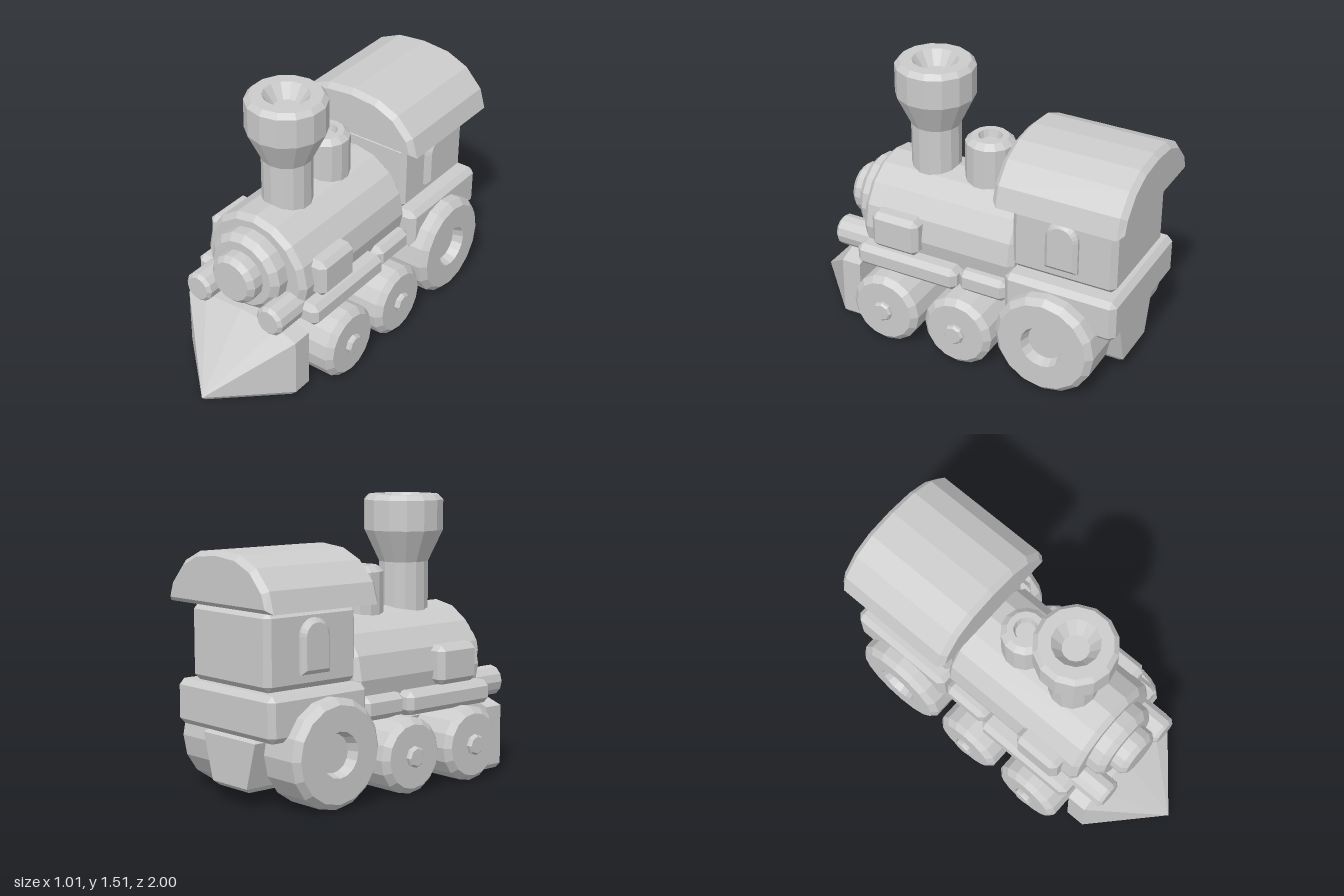
import * as THREE from 'three';
import { ConvexGeometry } from 'three/addons/geometries/ConvexGeometry.js';

const mat = new THREE.MeshStandardMaterial({ color: 0xcccccc, flatShading: true });
const V = (x, y, z) => new THREE.Vector3(x, y, z);

export function createModel() {
  const group = new THREE.Group();

  const add = (name, geo, x = 0, y = 0, z = 0) => {
    const mesh = new THREE.Mesh(geo, mat);
    mesh.name = name;
    mesh.position.set(x, y, z);
    group.add(mesh);
    return mesh;
  };

  // box with every edge chamfered, given by its limits
  const box = (name, [x0, x1], [y0, y1], [z0, z1], b = 0.03) => {
    const w = (x1 - x0) / 2, h = (y1 - y0) / 2, d = (z1 - z0) / 2, pts = [];
    for (const i of [-1, 1]) for (const j of [-1, 1]) for (const k of [-1, 1]) {
      pts.push(V(i * w, j * (h - b), k * (d - b)));
      pts.push(V(i * (w - b), j * h, k * (d - b)));
      pts.push(V(i * (w - b), j * (h - b), k * d));
    }
    return add(name, new ConvexGeometry(pts), (x0 + x1) / 2, (y0 + y1) / 2, (z0 + z1) / 2);
  };

  // turned part: profile of [radius, height]
  const turned = (profile, sides) =>
    new THREE.LatheGeometry(profile.map(([r, h]) => new THREE.Vector2(r, h)), sides);

  // chamfered cylinder along its axis from a to b
  const drum = (r, a, b, c, sides) =>
    turned([[0, a], [r - c, a], [r, a + c], [r, b - c], [r - c, b], [0, b]], sides);

  // boiler and its stepped front
  add('boiler', drum(0.325, -0.36, 0.55, 0.03, 16).rotateX(Math.PI / 2), 0, 0.597);
  add('boilerFrontRing', drum(0.223, 0.45, 0.65, 0.035, 16).rotateX(Math.PI / 2), 0, 0.63);
  add('boilerDoor', drum(0.14, 0.55, 0.74, 0.028, 16).rotateX(Math.PI / 2), 0, 0.63);

  // chimney with flared, hollow top
  add('chimney', turned([
    [0, 0.8], [0.135, 0.8], [0.135, 1.155], [0.216, 1.325], [0.216, 1.487],
    [0.19, 1.515], [0.125, 1.515], [0.07, 1.44], [0, 1.44],
  ], 14), 0, 0, 0.265);

  // steam dome
  add('steamDome', turned([
    [0, 0.8], [0.133, 0.8], [0.133, 1.12], [0.1, 1.15], [0.065, 1.15], [0.055, 1.11], [0, 1.11],
  ], 14), 0, 0, -0.06);

  // running boards and rear deck
  box('frontRunningBoard', [-0.4, 0.4], [0.39, 0.515], [-0.06, 0.55]);
  box('rearRunningBoard', [-0.37, 0.37], [0.39, 0.515], [-0.34, -0.06]);
  box('rearDeck', [-0.39, 0.39], [0.365, 0.6], [-0.97, -0.34]);

  // cab
  box('cab', [-0.31, 0.31], [0.6, 0.995], [-0.93, -0.345]);

  // arched cab roof
  const b = 0.03;
  const roofShape = new THREE.Shape([
    [-0.385, 1.022], [-0.36, 1.095], [-0.27, 1.19], [-0.155, 1.24], [0, 1.255],
    [0.155, 1.24], [0.27, 1.19], [0.36, 1.095], [0.385, 1.022],
  ].reverse().map(([x, y]) => new THREE.Vector2(x, y)));
  add('roof', new THREE.ExtrudeGeometry(roofShape, {
    depth: 0.72 - 2 * b, bevelEnabled: true, bevelSegments: 1, bevelSize: 0.028, bevelThickness: b,
  }), 0, 0, -1 + b);

  // chassis, narrower towards the bottom
  const chassis = [];
  for (const s of [-1, 1]) {
    for (const [x, y, inset] of [[0.12, 0.075, 0.03], [0.14, 0.1, 0], [0.21, 0.34, 0], [0.18, 0.37, 0.03]]) {
      chassis.push(V(s * x, y, 0.55 - inset), V(s * x, y, -0.93 + inset));
    }
  }
  add('chassis', new ConvexGeometry(chassis));

  // pointed plough
  const plough = [V(0, 0.03, 1), V(0, 0, 0.97)];
  for (const s of [-1, 1]) for (const z of [0.555, 0.665]) {
    plough.push(V(s * 0.33, 0, z), V(s * 0.36, 0.03, z), V(s * 0.36, 0.355, z), V(s * 0.24, 0.395, z));
  }
  for (const z of [0.555, 0.665]) plough.push(V(0, 0.41, z));
  add('plough', new ConvexGeometry(plough));

  // small wheel pairs, each a full-width roller with hubs
  for (const z of [0.335, -0.107]) {
    add('smallWheels', drum(0.2, -0.478, 0.478, 0.032, 16).rotateZ(-Math.PI / 2), 0, 0.2, z);
    add('smallWheelHubs', drum(0.056, -0.505, 0.505, 0.01, 8).rotateZ(-Math.PI / 2), 0, 0.2, z);
  }

  const windowShape = new THREE.Shape();
  windowShape.moveTo(-0.07, 0.695);
  windowShape.lineTo(0.07, 0.695);
  windowShape.lineTo(0.07, 0.86);
  windowShape.absarc(0, 0.86, 0.07, 0, Math.PI, false);

  for (const side of [1, -1]) {
    const tag = side > 0 ? 'left' : 'right';

    // large rear wheel with sunken hub
    add(tag + 'RearWheel', turned([
      [0, 0.2], [0.245, 0.2], [0.282, 0.232], [0.282, 0.445], [0.25, 0.478],
      [0.118, 0.478], [0.1, 0.42], [0, 0.42],
    ], 16).rotateZ(-side * Math.PI / 2), 0, 0.283, -0.61);

    // boiler side box
    box(tag + 'SideBox', side > 0 ? [0.2, 0.383] : [-0.383, -0.2], [0.52, 0.73], [0.18, 0.462]);

    // headlamp
    add(tag + 'Headlamp', drum(0.084, 0.45, 0.735, 0.018, 12).rotateX(Math.PI / 2), side * 0.235, 0.475);

    // raised cab window
    add(tag + 'CabWindow', new THREE.ExtrudeGeometry(windowShape, {
      depth: 0.04, curveSegments: 6, bevelEnabled: true, bevelSegments: 1, bevelSize: 0.022, bevelThickness: 0.02,
    }).rotateY(side * Math.PI / 2), side * 0.285, 0, -0.637);
  }

  return group;
}
